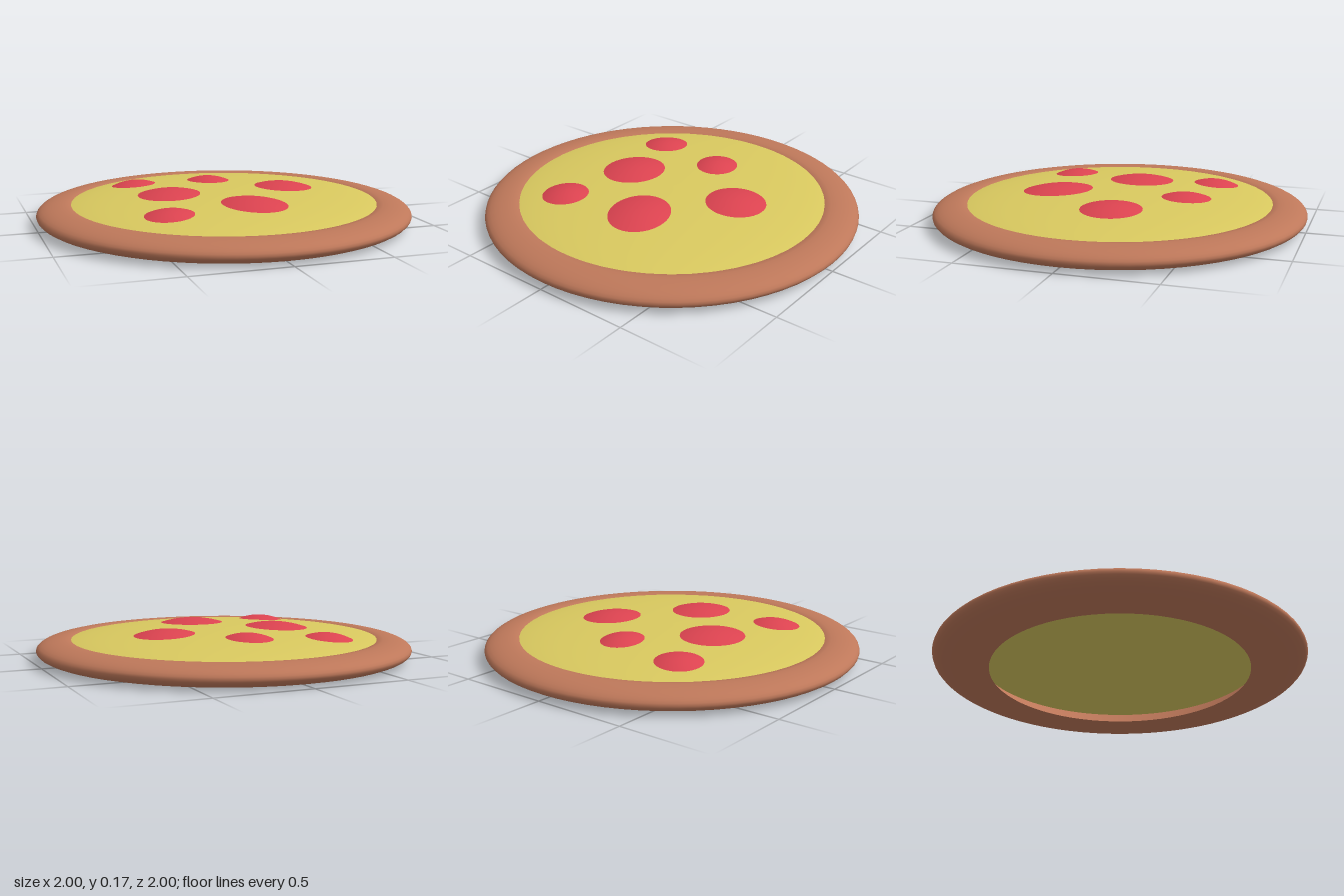
import * as THREE from 'three';

// Height of the cheese surface at distance r from the centre
const BASE = 0.07, RISE = 0.085, RADIUS = 0.9;
const cheeseHeight = (r) => BASE + RISE * Math.sqrt(Math.max(0, 1 - (r / RADIUS) ** 2));

const v = (x, y) => new THREE.Vector2(x, y);

function mesh(name, geometry, material) {
  const m = new THREE.Mesh(geometry, material);
  m.name = name;
  return m;
}

// Shallow domed slice draped over the cheese
function pepperoniGeometry(cx, cz, rx, rz, turn) {
  const profile = [];
  for (let i = 0; i <= 8; i++) {
    const u = 1 - i / 8;
    profile.push(v(u, 0.024 * (1 - u * u)));
  }
  const geo = new THREE.LatheGeometry(profile, 36);
  geo.scale(rx, 1, rz).rotateY(turn).translate(cx, 0, cz);
  const pos = geo.attributes.position;
  for (let i = 0; i < pos.count; i++) {
    const r = Math.hypot(pos.getX(i), pos.getZ(i));
    pos.setY(i, pos.getY(i) + cheeseHeight(r) + 0.0005);
  }
  geo.computeVertexNormals();
  return geo;
}

export function createModel() {
  const crustMat = new THREE.MeshStandardMaterial({ color: 0xbe785a });
  crustMat.name = 'baked crust';
  const cheeseMat = new THREE.MeshStandardMaterial({ color: 0xd9c95f });
  cheeseMat.name = 'cheese yellow';
  const redMat = new THREE.MeshStandardMaterial({ color: 0xdc4350 });
  redMat.name = 'pepperoni red';

  const model = new THREE.Group();
  model.name = 'pizza';

  // Crust: flat underside, rounded outer edge, sloping inner wall
  const crust = new THREE.Group();
  crust.name = 'crust';
  const rim = [v(0.7, 0), v(0.78, 0)];
  for (let i = 0; i <= 14; i++) {
    const a = -Math.PI / 2 + (Math.PI * i) / 14;
    rim.push(v(0.85 + 0.15 * Math.cos(a), 0.055 + 0.055 * Math.sin(a)));
  }
  rim.push(v(0.815, 0.105), v(0.78, 0.08));
  crust.add(mesh('crustRim', new THREE.LatheGeometry(rim, 72), crustMat));
  crust.add(mesh('crustInnerWall', new THREE.LatheGeometry([v(0.78, 0.08), v(0.7, 0)], 72), crustMat));
  model.add(crust);

  // Cheese: low dome with a flat underside
  const dome = [];
  for (let i = 0; i <= 20; i++) {
    const r = RADIUS * Math.cos((Math.PI / 2) * (i / 20));
    dome.push(v(i === 20 ? 0 : r, cheeseHeight(r)));
  }
  model.add(mesh('cheese', new THREE.LatheGeometry(dome, 48), cheeseMat));
  const under = new THREE.CircleGeometry(RADIUS, 48).rotateX(Math.PI / 2).translate(0, BASE, 0);
  model.add(mesh('cheeseUnderside', under, cheeseMat));

  // Pepperoni slices: x, z, half width, half depth, turn
  const slices = [
    [-0.395, -0.445, 0.123, 0.123, 0],
    [0.027, -0.375, 0.112, 0.131, 0.35],
    [-0.297, -0.037, 0.166, 0.178, 0],
    [0.37, -0.07, 0.159, 0.16, 0],
    [-0.412, 0.395, 0.126, 0.123, 0],
    [0.053, 0.335, 0.16, 0.188, 0.35],
  ];
  for (const s of slices) model.add(mesh('pepperoni', pepperoniGeometry(...s), redMat));

  return model;
}
